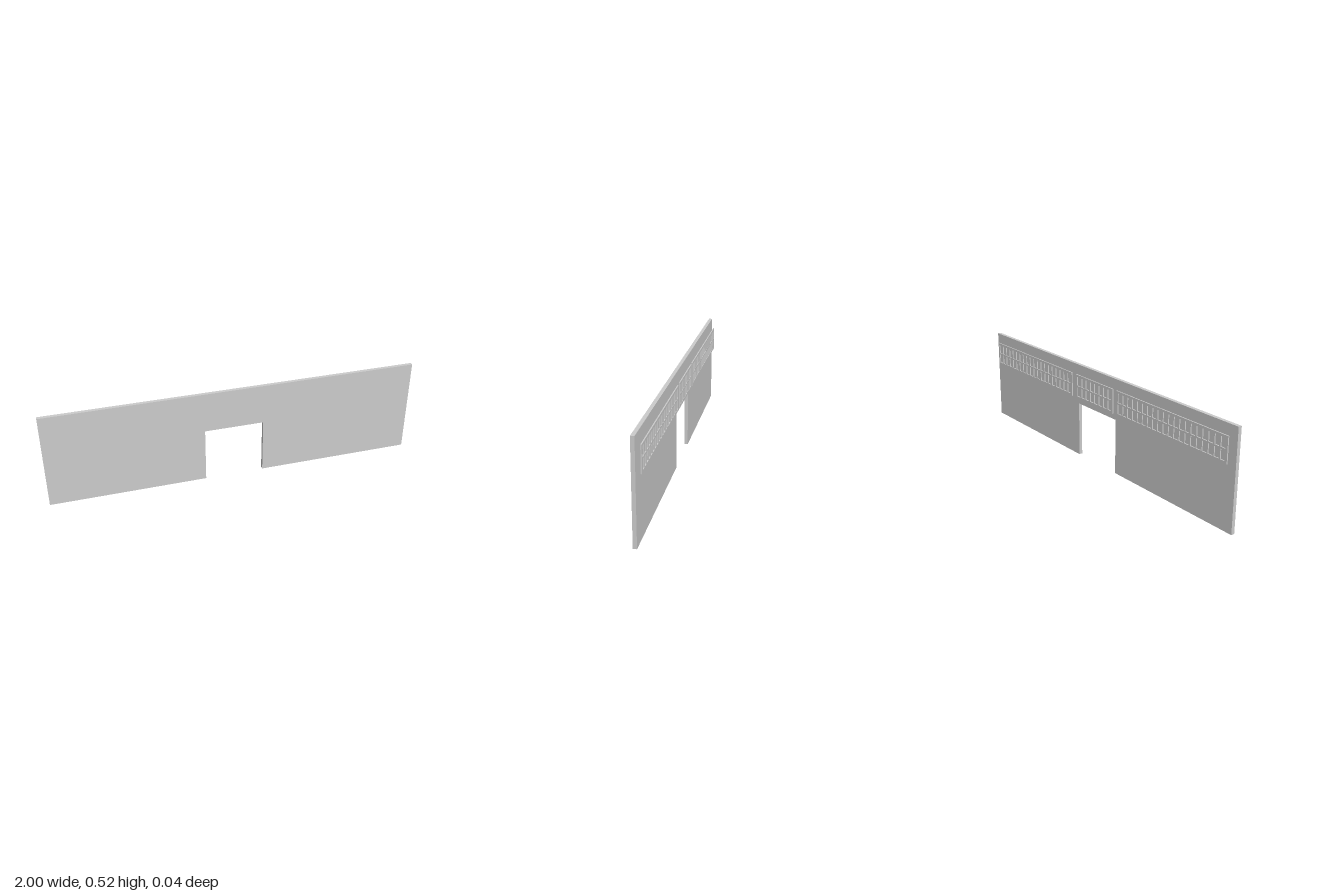
import * as THREE from 'three';

const material = new THREE.MeshStandardMaterial({ color: 0xcccccc, flatShading: true });

// Closed path through [x, y] corners
function outline(PathType, corners) {
  const path = new PathType();
  corners.forEach(([x, y], i) => (i ? path.lineTo(x, y) : path.moveTo(x, y)));
  path.closePath();
  return path;
}

const rect = (x0, y0, x1, y1) => [[x0, y0], [x1, y0], [x1, y1], [x0, y1]];

// Flat shape given depth from z0 to z1
function slab(name, shape, z0, z1) {
  const geometry = new THREE.ExtrudeGeometry(shape, { depth: z1 - z0, bevelEnabled: false });
  geometry.translate(0, 0, z0);
  const mesh = new THREE.Mesh(geometry, material);
  mesh.name = name;
  return mesh;
}

// Framed window grid with two rows of panes
function windowGrid(name, x0, x1, columns) {
  const y0 = 0.337, y1 = 0.47, rows = 2, frame = 0.012, bar = 0.008;
  const shape = outline(THREE.Shape, rect(x0, y0, x1, y1));
  const paneW = (x1 - x0 - 2 * frame - (columns - 1) * bar) / columns;
  const paneH = (y1 - y0 - 2 * frame - (rows - 1) * bar) / rows;
  for (let r = 0; r < rows; r++) {
    for (let c = 0; c < columns; c++) {
      const x = x0 + frame + c * (paneW + bar);
      const y = y0 + frame + r * (paneH + bar);
      shape.holes.push(outline(THREE.Path, rect(x, y, x + paneW, y + paneH).reverse()));
    }
  }
  return slab(name, shape, -0.0195, -0.0135);
}

export function createModel() {
  const model = new THREE.Group();
  model.name = 'wallWithDoorway';

  // Wall with a doorway notch cut from its lower edge
  const wall = outline(THREE.Shape, [
    [-1, 0], [-0.165, 0], [-0.165, 0.3], [0.154, 0.3],
    [0.154, 0], [1, 0], [1, 0.52], [-1, 0.52],
  ]);
  model.add(slab('wall', wall, 0.0005, 0.0195));

  // Window grids floating just behind the wall
  model.add(
    windowGrid('rightWindowGrid', -0.963, -0.194, 20),
    windowGrid('doorwayWindowGrid', -0.164, 0.154, 8),
    windowGrid('leftWindowGrid', 0.192, 0.965, 20),
  );
  return model;
}
